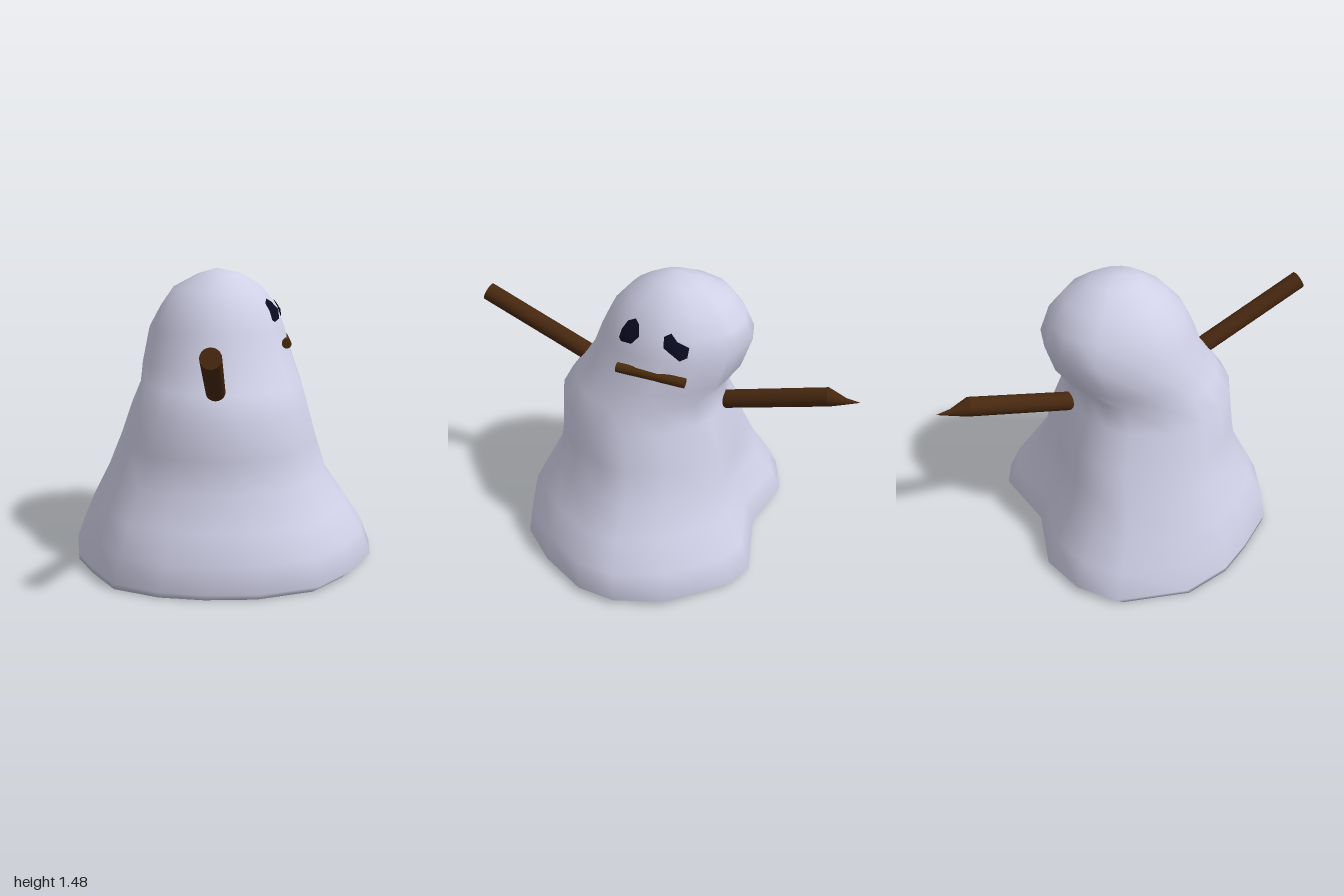
import * as THREE from 'three';

const mat = (name, color, side = THREE.FrontSide) => {
  const m = new THREE.MeshStandardMaterial({ color, side });
  m.name = name;
  return m;
};

// Plan outline of the spread hem, from +x round through +z; it has a notch at the back
const HEM = [
  [0.79, -0.02], [0.77, 0.18], [0.64, 0.42], [0.48, 0.6], [0.2, 0.7], [-0.05, 0.715],
  [-0.27, 0.69], [-0.5, 0.6], [-0.64, 0.4], [-0.74, 0.22], [-0.79, -0.03], [-0.7, -0.38],
  [-0.54, -0.53], [-0.32, -0.605], [0, -0.53], [0.35, -0.6], [0.48, -0.54], [0.7, -0.28],
].map(([x, z]) => [x / 0.79, (z - 0.055) / 0.66]);

// Cross-sections: y, min x, max x, min z, max z, share of the hem outline (0 = ellipse)
const RINGS = [
  [0.0, -0.785, 0.75, -0.57, 0.70, 1],
  [0.03, -0.79, 0.79, -0.605, 0.715, 1],
  [0.16, -0.74, 0.74, -0.55, 0.70, 1],
  [0.3, -0.68, 0.65, -0.47, 0.63, 0.8],
  [0.46, -0.6, 0.54, -0.42, 0.55, 0.5],
  [0.62, -0.535, 0.49, -0.4, 0.535, 0.25],
  [0.8, -0.47, 0.44, -0.34, 0.53, 0],
  [0.92, -0.42, 0.405, -0.32, 0.45, 0],
  [1.02, -0.415, 0.37, -0.4, 0.37, 0],
  [1.18, -0.385, 0.32, -0.45, 0.31, 0],
  [1.28, -0.33, 0.285, -0.41, 0.26, 0],
  [1.38, -0.26, 0.205, -0.33, 0.17, 0],
  [1.45, -0.13, 0.1, -0.2, 0.06, 0],
];

// x of the face side of the body at a given y and z
function faceX(y, z) {
  let i = 0;
  while (i < RINGS.length - 2 && RINGS[i + 1][0] < y) i++;
  const t = (y - RINGS[i][0]) / (RINGS[i + 1][0] - RINGS[i][0]);
  const [, x0, x1, z0, z1] = RINGS[i].map((v, k) => THREE.MathUtils.lerp(v, RINGS[i + 1][k], t));
  const u = (2 * z - z0 - z1) / (z1 - z0);
  return (x0 + x1) / 2 + ((x1 - x0) / 2) * Math.sqrt(Math.max(0, 1 - u * u));
}

// Closed smooth skin through all cross-sections, with the base sharing its rim
function bodyGeometry() {
  const pos = [], idx = [], n = HEM.length, last = RINGS.length - 1;
  for (const [y, x0, x1, z0, z1, w] of RINGS) {
    for (const [hx, hz] of HEM) {
      const len = Math.hypot(hx, hz);
      const ux = THREE.MathUtils.lerp(hx / len, hx, w);
      const uz = THREE.MathUtils.lerp(hz / len, hz, w);
      pos.push((x0 + x1) / 2 + (ux * (x1 - x0)) / 2, y, (z0 + z1) / 2 + (uz * (z1 - z0)) / 2);
    }
  }
  const top = pos.length / 3, base = top + 1;
  pos.push(-0.03, 1.48, -0.06, 0, 0.01, 0.05);
  for (let j = 0; j < n; j++) {
    const k = (j + 1) % n;
    for (let r = 0; r < last; r++) {
      const a = r * n + j, b = r * n + k;
      idx.push(a, a + n, b + n, a, b + n, b);
    }
    idx.push(last * n + j, top, last * n + k, j, k, base);
  }
  const g = new THREE.BufferGeometry();
  g.setAttribute('position', new THREE.Float32BufferAttribute(pos, 3));
  g.setIndex(idx);
  g.computeVertexNormals();
  return g;
}

// Round stick between two points
function stick(name, from, to, radius, material) {
  const a = new THREE.Vector3(...from), b = new THREE.Vector3(...to);
  const mesh = new THREE.Mesh(new THREE.CylinderGeometry(radius, radius, a.distanceTo(b), 20), material);
  mesh.position.copy(a).add(b).multiplyScalar(0.5);
  mesh.quaternion.setFromUnitVectors(new THREE.Vector3(0, 1, 0), b.sub(a).normalize());
  mesh.name = name;
  return mesh;
}

// Splintered point: a cone whose narrowing rings drop to the lower edge
function splinter(material) {
  const g = new THREE.CylinderGeometry(1, 1, 1, 20, 2, true);
  const p = g.attributes.position;
  const steps = [[-0.85, 0.941, 0.047], [-0.935, 0.935, 0.016], [-1.0, 0.942, 0.0005]];
  for (let i = 0; i < p.count; i++) {
    const [z, y, r] = steps[Math.round((p.getY(i) + 0.5) * 2)];
    const up = p.getZ(i) * r;
    // the first ring is square to the arm
    p.setXYZ(i, -0.02 + p.getX(i) * r, y + up * 0.97, z + up * 0.26);
  }
  g.computeVertexNormals();
  const mesh = new THREE.Mesh(g, material);
  mesh.name = 'backArmPoint';
  return mesh;
}

// Thin domed patch laid on the face; outline is [z, y], counter-clockwise seen from +x
function eye(name, outline, material) {
  const n = outline.length;
  const cz = outline.reduce((s, q) => s + q[0], 0) / n;
  const cy = outline.reduce((s, q) => s + q[1], 0) / n;
  const g = new THREE.CircleGeometry(1, n);
  const p = g.attributes.position;
  p.setXYZ(0, faceX(cy, cz) + 0.02, cy, cz);
  for (let i = 0; i <= n; i++) {
    const [z, y] = outline[i % n];
    p.setXYZ(i + 1, faceX(y, z) + 0.009, y, z);
  }
  g.computeVertexNormals();
  const mesh = new THREE.Mesh(g, material);
  mesh.name = name;
  return mesh;
}

export function createModel() {
  const snow = mat('paleLilac', 0xcfcfe6);
  const wood = mat('brownWood', 0x46270f, THREE.DoubleSide);
  const twig = mat('mouthWood', 0x4a2c0c);
  const coal = mat('darkNavy', 0x0b0b20, THREE.DoubleSide);

  const model = new THREE.Group();
  model.name = 'meltingSnowFigure';

  const body = new THREE.Mesh(bodyGeometry(), snow);
  body.name = 'body';
  model.add(body);

  // Stick arms, one on each flank of the face
  model.add(stick('frontArm', [-0.02, 0.89, 0.34], [-0.02, 1.185, 0.98], 0.047, wood));
  model.add(stick('backArm', [-0.02, 0.783, -0.25], [-0.02, 0.941, -0.85], 0.047, wood));
  model.add(splinter(wood));

  // Face on the +x side
  model.add(stick('mouth', [0.325, 1.115, 0.115], [0.325, 1.1, -0.225], 0.024, twig));
  model.add(eye('leftEye', [
    [0.13, 1.235], [0.115, 1.225], [0.055, 1.235], [0.015, 1.28], [0.03, 1.32],
    [0.055, 1.335], [0.095, 1.315], [0.12, 1.275],
  ], coal));
  model.add(eye('rightEye', [
    [-0.105, 1.3], [-0.11, 1.255], [-0.14, 1.235], [-0.19, 1.2], [-0.222, 1.215],
    [-0.225, 1.26], [-0.17, 1.285], [-0.135, 1.315],
  ], coal));
  return model;
}
